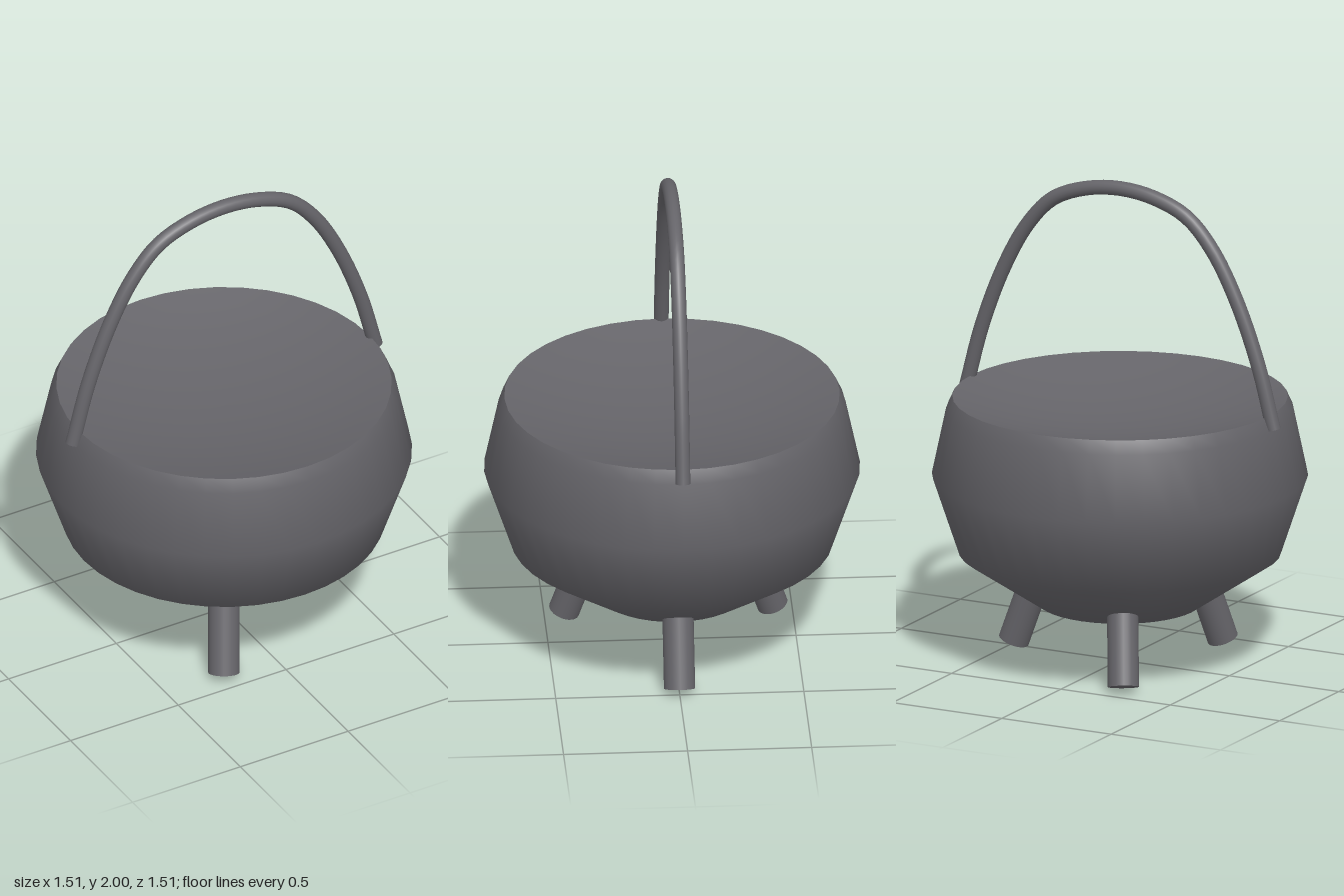
import * as THREE from 'three';

const UP = new THREE.Vector3(0, 1, 0);

export function createModel() {
  const model = new THREE.Group();
  model.name = 'cauldron';
  const iron = new THREE.MeshStandardMaterial({ color: 0x656469 });
  iron.name = 'dark iron';

  const add = (name, geometry, parent = model) => {
    const mesh = new THREE.Mesh(geometry, iron);
    mesh.name = name;
    parent.add(mesh);
    return mesh;
  };

  // Pot body, from the base up to the rim
  const rim = [0.675, 1.105];
  const profile = [[0, 0.243], [0.326, 0.243], [0.65, 0.46], [0.757, 0.78], [0.7, 1.05], rim];
  const lathe = (points) => new THREE.LatheGeometry(points.map(([r, y]) => new THREE.Vector2(r, y)), 40);
  add('pot', lathe(profile));

  // Shallow dished filling that closes the pot just below the rim
  const sag = 0.11;
  const dish = [];
  for (let i = 0; i <= 8; i++) {
    const t = 1 - i / 8;
    dish.push([rim[0] * t, rim[1] - sag * (1 - t * t)]);
  }
  add('filling', lathe(dish));

  // Three splayed legs, one on the left side and two on the right
  const legs = new THREE.Group();
  legs.name = 'legs';
  model.add(legs);
  for (let i = 0; i < 3; i++) {
    const a = (i * Math.PI * 2) / 3;
    const at = (r, y) => new THREE.Vector3(r * Math.cos(a), y, r * Math.sin(a));
    const foot = at(0.485, 0.024);
    const top = at(0.36, 0.36);
    const axis = top.clone().sub(foot);
    const leg = add('leg', new THREE.CylinderGeometry(0.063, 0.063, axis.length(), 24), legs);
    leg.position.copy(foot).add(top).multiplyScalar(0.5);
    leg.quaternion.setFromUnitVectors(UP, axis.normalize());
  }

  // Arched carrying handle
  const half = [[0.702, 1.055], [0.63, 1.32], [0.528, 1.58], [0.42, 1.77], [0.305, 1.89], [0.155, 1.951]];
  const points = [
    ...half.map(([x, y]) => new THREE.Vector3(-x, y, 0)),
    new THREE.Vector3(0, 1.97, 0),
    ...half.slice().reverse().map(([x, y]) => new THREE.Vector3(x, y, 0)),
  ];
  const arch = new THREE.CatmullRomCurve3(points);
  const handle = new THREE.Group();
  handle.name = 'handle';
  model.add(handle);
  add('handleBar', new THREE.TubeGeometry(arch, 64, 0.03, 16), handle);

  // Flat ends of the handle
  for (const t of [0, 1]) {
    const outward = arch.getTangentAt(t).multiplyScalar(t ? 1 : -1);
    const cap = add('handleEnd', new THREE.CircleGeometry(0.03, 16), handle);
    cap.position.copy(arch.getPointAt(t));
    cap.quaternion.setFromUnitVectors(new THREE.Vector3(0, 0, 1), outward);
  }

  return model;
}
